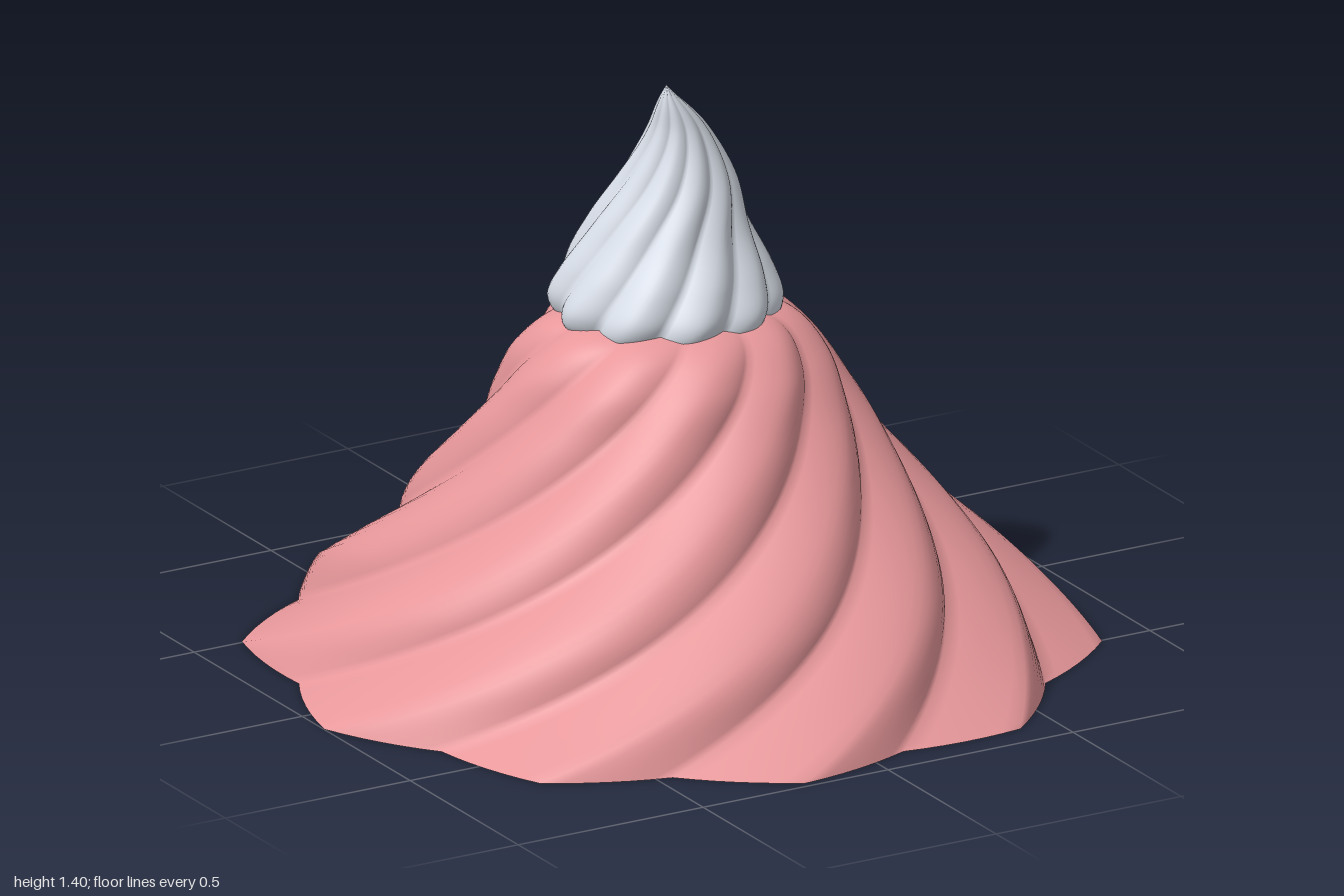
import * as THREE from 'three';

const LOBES = 10, PER_LOBE = 12, SEG = LOBES * PER_LOBE, ROWS = 64;
const RAD = Math.PI / 180;

// Smooth curve through [radius, height] points
const spline = (pts) => new THREE.SplineCurve(pts.map(([a, b]) => new THREE.Vector2(a, b)));

// Twisted, fluted loft: the ridges turn steadily as they climb
function swirl({ profile, phase, twist, depth, exponent, centre }) {
  const curve = spline(profile);
  const pos = [], index = [];
  for (let j = 0; j <= ROWS; j++) {
    const { x: r, y } = curve.getPoint(j / ROWS);
    const [cx, cz] = centre(y);
    for (let i = 0; i < SEG; i++) {
      // t is 0 on a ridge and 1 in a valley
      const t = Math.abs(((i / PER_LOBE + 0.5) % 1) - 0.5) * 2;
      const a = (phase - twist * y + i * 360 / SEG) * RAD;
      const rr = Math.max(r, 0) * (1 - depth * Math.pow(t, exponent(y)));
      pos.push(cx + rr * Math.cos(a), y, cz + rr * Math.sin(a));
      if (j < ROWS) {
        const k = (i + 1) % SEG, p = j * SEG, q = p + SEG;
        index.push(p + i, q + i, p + k, q + i, q + k, p + k);
      }
    }
  }
  const g = new THREE.BufferGeometry();
  g.setAttribute('position', new THREE.Float32BufferAttribute(pos, 3));
  g.setIndex(index);
  g.computeVertexNormals();
  return g;
}

export function createModel() {
  const pink = new THREE.MeshStandardMaterial({ color: 0xe8989b, side: THREE.DoubleSide });
  pink.name = 'pink icing';
  const white = new THREE.MeshStandardMaterial({ color: 0xd8dee8, side: THREE.DoubleSide });
  white.name = 'pale cream';

  const group = new THREE.Group();
  group.name = 'swirledCone';

  // Wide swirled skirt, open underneath; star-shaped hem, rounder flutes above
  const skirt = new THREE.Mesh(swirl({
    profile: [[1.004, 0], [0.885, 0.1], [0.75, 0.23], [0.625, 0.36], [0.527, 0.48],
      [0.435, 0.62], [0.365, 0.74], [0.28, 0.82], [0.15, 0.85], [0, 0.86]],
    phase: -5.8, twist: 138, depth: 0.087,
    exponent: (y) => 1 + Math.min(y * 3, 0.7),
    centre: () => [0, 0],
  }), pink);
  skirt.name = 'swirledSkirt';
  group.add(skirt);

  // Small swirled peak whose axis leans over to an off-centre tip
  const lean = spline([[0, -0.03], [0, -0.03], [0.005, -0.025], [0.02, -0.01], [0.008, 0.012], [-0.037, 0.037]]);
  const peak = new THREE.Mesh(swirl({
    profile: [[0.17, 0.81], [0.25, 0.805], [0.276, 0.855], [0.25, 0.93], [0.197, 1.03],
      [0.142, 1.15], [0.09, 1.25], [0.045, 1.335], [0, 1.405]],
    phase: 106, twist: 130, depth: 0.1,
    exponent: () => 1.7,
    centre: (y) => {
      const p = lean.getPoint(THREE.MathUtils.clamp((y - 0.8) / 0.605, 0, 1));
      return [p.x, p.y];
    },
  }), white);
  peak.name = 'creamPeak';
  group.add(peak);

  return group;
}
